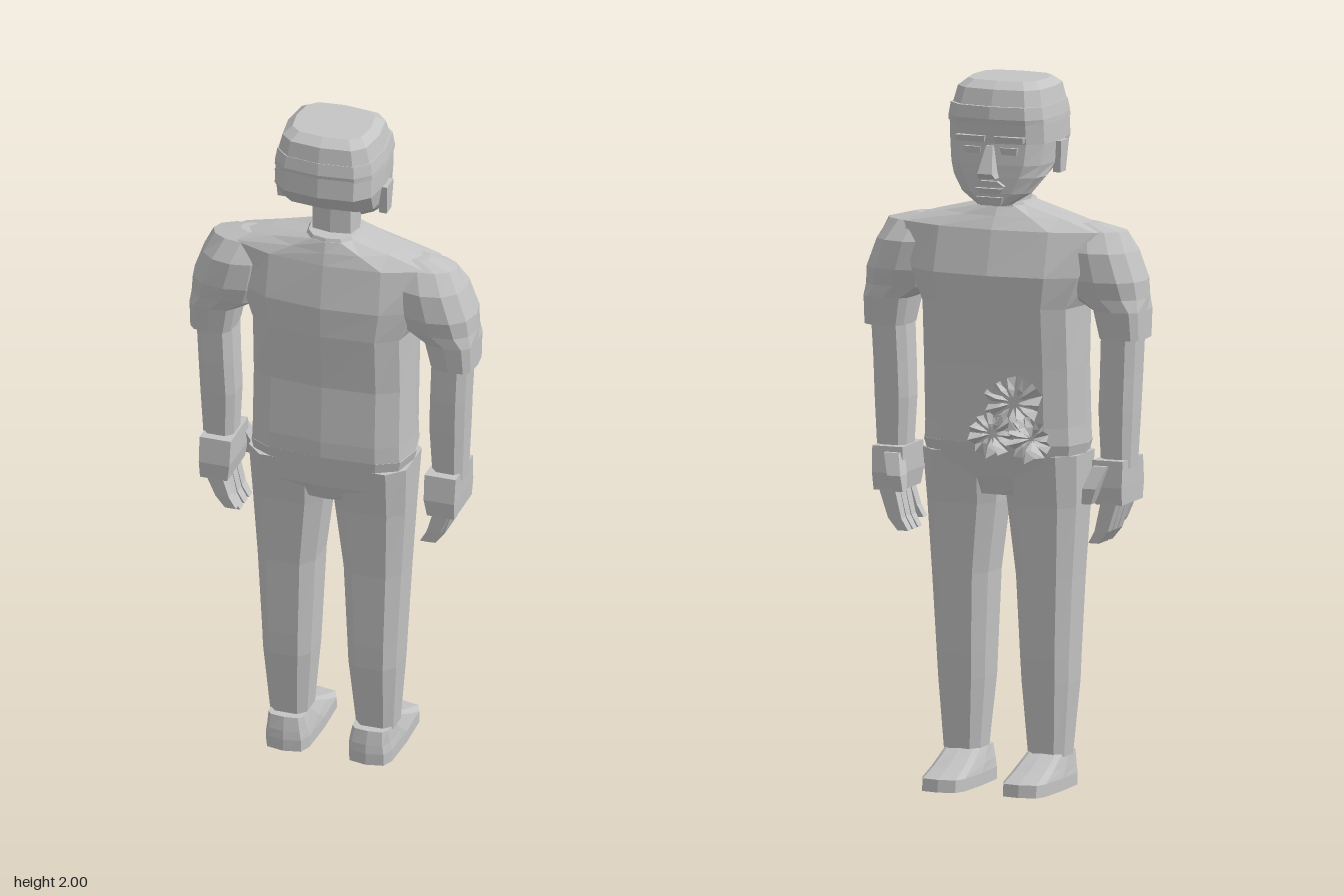
import * as THREE from 'three';

const grey = new THREE.MeshStandardMaterial({ color: 0xc4c4c4, flatShading: true, side: THREE.DoubleSide });
grey.name = 'plain grey';

// Closed loft through horizontal rings, lowest first.
// Ring: [y, centreX, halfWidth, zBack, zFront, power]; a lower power is boxier.
function loft(rings, n = 12, phase = 0) {
  const pos = [], idx = [];
  const bend = (v, p) => Math.sign(v) * Math.abs(v) ** p;
  for (const [y, cx, hw, zb, zf, p = 0.6] of rings) {
    for (let j = 0; j < n; j++) {
      const a = phase + (j / n) * Math.PI * 2;
      pos.push(cx + hw * bend(Math.cos(a), p), y, (zb + zf) / 2 + ((zb - zf) / 2) * bend(Math.sin(a), p));
    }
  }
  for (let i = 0; i < rings.length - 1; i++) {
    for (let j = 0; j < n; j++) {
      const a = i * n + j, b = i * n + ((j + 1) % n);
      idx.push(a, a + n, b, b, a + n, b + n);
    }
  }
  const top = (rings.length - 1) * n;
  for (let j = 1; j < n - 1; j++) idx.push(0, j, j + 1, top, top + j + 1, top + j);
  const g = new THREE.BufferGeometry();
  g.setAttribute('position', new THREE.Float32BufferAttribute(pos, 3));
  g.setIndex(idx);
  g.computeVertexNormals();
  return g;
}
// Four-sided loft
const block = (rings) => loft(rings.map((r) => [...r, 0]), 4, Math.PI / 4);

// Crumpled round patch of pleats in the xy plane
function pleats(radius, seed) {
  let s = seed;
  const rnd = () => (s = (s * 16807) % 2147483647) / 2147483647;
  const n = 22, pos = [0, 0, 0.02], idx = [];
  for (let ring = 1; ring <= 2; ring++) {
    for (let j = 0; j < n; j++) {
      const a = (j / n) * Math.PI * 2, r = radius * (ring / 2) * (0.85 + 0.25 * rnd());
      pos.push(r * Math.cos(a), r * Math.sin(a), (j % 2 ? -0.015 : 0.01) * (0.5 + rnd()));
    }
  }
  for (let j = 0; j < n; j++) {
    const a = 1 + j, b = 1 + ((j + 1) % n);
    idx.push(0, b, a, a, b, a + n, b, b + n, a + n);
  }
  const g = new THREE.BufferGeometry();
  g.setAttribute('position', new THREE.Float32BufferAttribute(pos, 3));
  g.setIndex(idx);
  g.computeVertexNormals();
  return g;
}

export function createModel() {
  const model = new THREE.Group();
  model.name = 'standingFigure';
  const add = (name, geometry, x = 0, y = 0, z = 0) => {
    const m = new THREE.Mesh(geometry, grey);
    m.name = name;
    m.position.set(x, y, z);
    model.add(m);
    return m;
  };

  // Shirt and trousers seat
  add('shirt', loft([
    [0.98, 0, 0.237, 0.16, -0.1],
    [1.03, 0, 0.235, 0.16, -0.1],
    [1.2, 0, 0.235, 0.15, -0.108],
    [1.37, 0, 0.235, 0.163, -0.125],
    [1.46, 0, 0.28, 0.165, -0.133, 0.75],
    [1.585, 0, 0.33, 0.14, -0.095, 1],
    [1.62, 0, 0.2, 0.13, -0.07, 1],
    [1.65, 0, 0.075, 0.12, -0.05, 0.8],
  ]));
  add('trousersSeat', loft([
    [0.83, 0, 0.12, 0.125, -0.055],
    [0.88, 0, 0.215, 0.145, -0.072],
    [0.98, 0, 0.24, 0.16, -0.1],
  ]));
  add('collar', loft([
    [1.62, 0, 0.095, 0.13, -0.06, 0.8],
    [1.66, 0, 0.07, 0.115, -0.05, 0.8],
  ]));
  add('neck', loft([
    [1.58, 0, 0.07, 0.08, -0.035],
    [1.79, 0, 0.068, 0.075, -0.03],
  ], 8));

  // Head with the hair overhanging the neck
  add('head', loft([
    [1.655, 0, 0.05, -0.04, -0.1, 0.8],
    [1.69, 0, 0.105, 0.0, -0.104, 0.8],
    [1.735, 0, 0.135, 0.06, -0.104, 0.7],
    [1.77, 0, 0.146, 0.14, -0.104],
    [1.83, 0, 0.155, 0.19, -0.1],
    [1.9, 0, 0.154, 0.185, -0.108],
    [1.98, 0, 0.135, 0.17, -0.082],
    [2.0, 0, 0.11, 0.14, -0.05],
  ]));
  add('hairBand', loft([
    [1.885, 0, 0.157, 0.185, -0.108],
    [1.9, 0, 0.156, 0.187, -0.112],
    [1.935, 0, 0.15, 0.18, -0.107],
  ]));
  add('nose', block([
    [1.735, 0, 0.026, -0.09, -0.13],
    [1.75, 0, 0.022, -0.09, -0.145],
    [1.825, 0, 0.01, -0.09, -0.11],
  ]));
  add('upperLip', block([
    [1.712, 0, 0.045, -0.08, -0.114],
    [1.726, 0, 0.025, -0.08, -0.116],
  ]));
  add('lowerLip', block([
    [1.69, 0, 0.028, -0.08, -0.11],
    [1.705, 0, 0.04, -0.08, -0.116],
  ]));
  add('chin', block([
    [1.655, 0, 0.03, -0.06, -0.103],
    [1.68, 0, 0.04, -0.06, -0.112],
  ]));

  // Torn patch of three pleated lobes on the belly
  [[-0.07, 1.1, 0.085], [-0.005, 1.01, 0.065], [-0.12, 1.0, 0.065]].forEach(([x, y, r], i) => {
    add('tornPatch', pleats(r, 17 + i * 101), x, y, -0.105);
  });

  for (const s of [1, -1]) {
    const side = s > 0 ? 'left' : 'right';
    // Mirror the ring centres across x = 0
    const at = (rings) => rings.map(([y, cx, ...rest]) => [y, s * cx, ...rest]);

    // Face details
    add(side + 'Eye', block(at([
      [1.8, 0.055, 0.022, -0.08, -0.1],
      [1.82, 0.055, 0.026, -0.08, -0.104],
    ])));
    add(side + 'Brow', block(at([
      [1.835, 0.058, 0.04, -0.07, -0.106],
      [1.852, 0.058, 0.044, -0.07, -0.112],
    ])));
    add(side + 'Ear', block(at([
      [1.74, 0.15, 0.011, 0.06, 0.02],
      [1.83, 0.152, 0.014, 0.072, 0.015],
    ])));

    // Sleeve and arm
    add(side + 'Sleeve', loft(at([
      [1.285, 0.355, 0.064, 0.1, -0.045],
      [1.365, 0.347, 0.073, 0.11, -0.055],
      [1.4, 0.312, 0.108, 0.118, -0.06, 0.8],
      [1.45, 0.3, 0.117, 0.13, -0.075, 0.85],
      [1.53, 0.28, 0.108, 0.125, -0.07, 0.9],
      [1.585, 0.26, 0.1, 0.09, -0.03, 1],
      [1.605, 0.23, 0.05, 0.06, 0, 1],
    ])));
    add(side + 'Arm', loft(at([
      [0.92, 0.338, 0.046, 0.075, -0.025],
      [1.08, 0.338, 0.054, 0.085, -0.03],
      [1.18, 0.342, 0.054, 0.09, -0.03],
      [1.32, 0.348, 0.055, 0.092, -0.035],
    ]), 8, Math.PI / 8));

    // Hand
    add(side + 'Palm', block(at([
      [0.82, 0.335, 0.04, 0.105, -0.048],
      [0.87, 0.332, 0.045, 0.11, -0.055],
      [0.945, 0.332, 0.046, 0.1, -0.05],
    ])));
    for (let f = 0; f < 4; f++) {
      const z = 0.083 - f * 0.038, tip = f === 0 ? 0.73 : 0.708;
      add(side + 'Finger', block(at([
        [tip, 0.288, 0.016, z + 0.014, z - 0.014],
        [tip + 0.035, 0.312, 0.02, z + 0.016, z - 0.016],
        [0.83, 0.336, 0.024, z + 0.018, z - 0.018],
      ])));
    }
    add(side + 'Thumb', block(at([
      [0.825, 0.284, 0.014, -0.06, -0.09],
      [0.87, 0.295, 0.02, -0.045, -0.095],
      [0.93, 0.315, 0.022, -0.02, -0.065],
    ])));

    // Leg and shoe
    add(side + 'Leg', loft(at([
      [0.09, 0.127, 0.057, 0.09, -0.027],
      [0.3, 0.126, 0.074, 0.118, -0.043],
      [0.37, 0.126, 0.077, 0.12, -0.048],
      [0.6, 0.127, 0.089, 0.123, -0.055],
      [0.8, 0.121, 0.109, 0.13, -0.06],
      [0.95, 0.119, 0.119, 0.152, -0.085],
    ]), 8, Math.PI / 8));
    add(side + 'Shoe', loft(at([
      [0, 0.122, 0.068, 0.13, -0.195, 0.45],
      [0.035, 0.122, 0.068, 0.13, -0.19, 0.45],
      [0.06, 0.122, 0.064, 0.126, -0.12, 0.5],
      [0.1, 0.124, 0.056, 0.115, -0.025, 0.5],
    ])));
  }
  return model;
}
